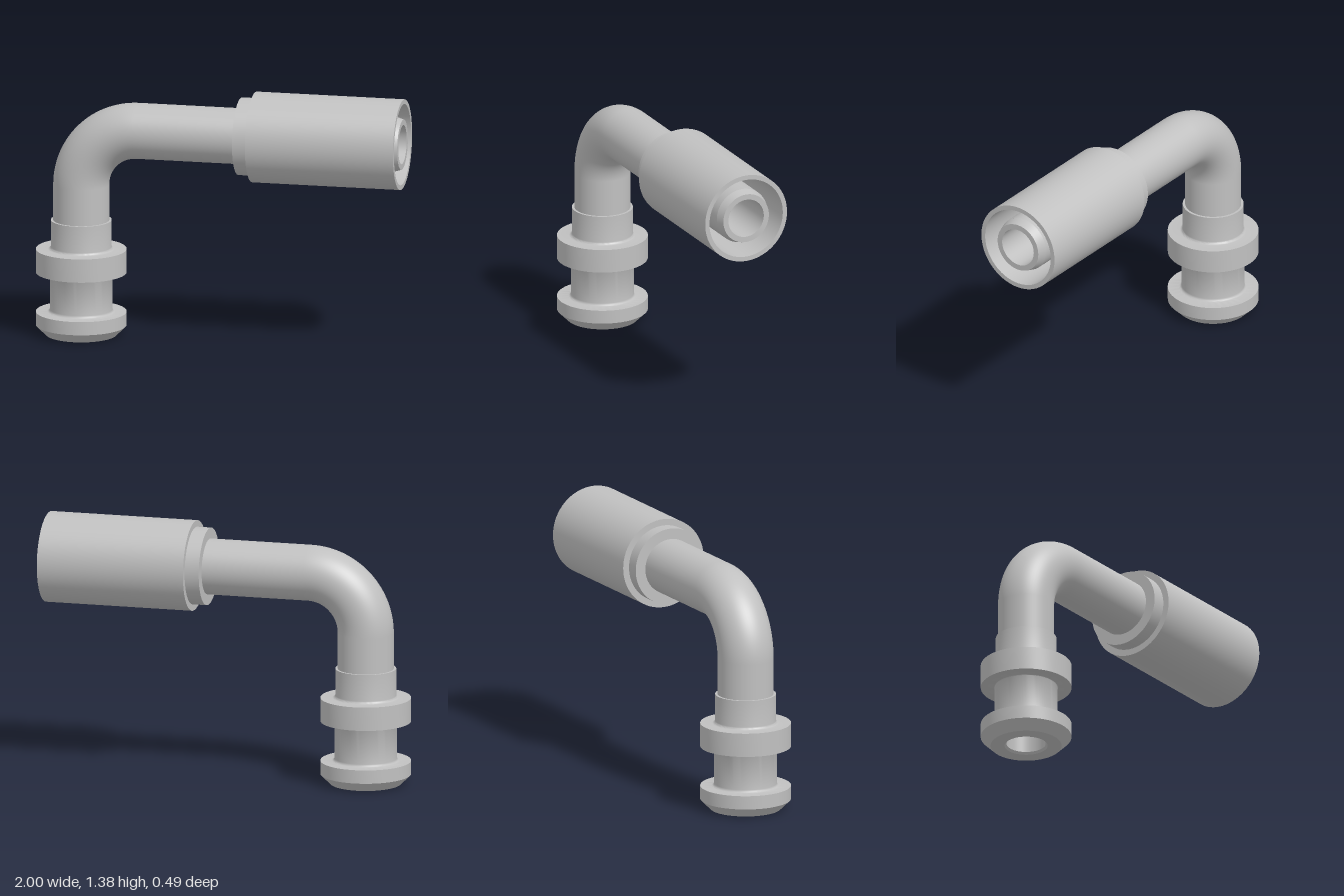
import * as THREE from 'three';
import { toCreasedNormals } from 'three/addons/utils/BufferGeometryUtils.js';

const STEM_X = -0.757;   // axis of the upright leg
const ARM_Y = 1.135;     // axis of the level arm
const BEND = 0.31;       // centreline radius of the elbow
const TUBE_R = 0.15;
const BORE_R = 0.105;

export function createModel() {
  const model = new THREE.Group();
  const steel = new THREE.MeshStandardMaterial({ color: 0xc0c0c0, side: THREE.DoubleSide });
  steel.name = 'plain steel';

  const add = (name, geometry) => {
    const mesh = new THREE.Mesh(geometry, steel);
    mesh.name = name;
    model.add(mesh);
  };

  // Turned part from [radius, distance along axis] pairs
  const turned = (profile) => toCreasedNormals(
    new THREE.LatheGeometry(profile.map(([r, d]) => new THREE.Vector2(r, d)), 72), 0.6);

  // Fillet between a flange face and a shaft, centred at (r, y)
  const fillet = (r, y, size, from, to) => [0, 1, 2, 3, 4].map((i) => {
    const a = from + (to - from) * i / 4;
    return [r + size * Math.cos(a), y + size * Math.sin(a)];
  });
  const P = Math.PI;

  // Quick-connect end: chamfered foot, groove, flange and socket
  const fitting = turned([
    [0.115, 0], [0.19, 0], [0.243, 0.052], [0.243, 0.125],
    ...fillet(0.183, 0.14, 0.015, 1.5 * P, P),
    ...fillet(0.175, 0.335, 0.007, P, 0.5 * P),
    [0.243, 0.342], [0.243, 0.47],
    ...fillet(0.178, 0.485, 0.015, 1.5 * P, P),
    [0.163, 0.63], [TUBE_R, 0.63], [TUBE_R, 0.6],
  ]);
  add('connectorFitting', fitting.translate(STEM_X, 0, 0));
  const mouth = turned([[BORE_R, 0.012], [0.115, 0]]);
  add('connectorMouth', mouth.translate(STEM_X, 0, 0));

  // Elbow pipe: the outer wall and the bore share one centreline
  const pipe = (name, r, bottom, end) => {
    const elbowY = ARM_Y - BEND, elbowX = STEM_X + BEND;
    const leg = new THREE.CylinderGeometry(r, r, elbowY - bottom, 64, 1, true);
    add(name + 'Leg', leg.translate(STEM_X, (elbowY + bottom) / 2, 0));
    const bend = new THREE.TorusGeometry(BEND, r, 64, 40, P / 2);
    add(name + 'Bend', bend.rotateZ(P / 2).translate(elbowX, elbowY, 0));
    const arm = new THREE.CylinderGeometry(r, r, end - elbowX, 64, 1, true);
    add(name + 'Arm', arm.rotateZ(-P / 2).translate((elbowX + end) / 2, ARM_Y, 0));
  };
  pipe('pipe', TUBE_R, 0.6, 0.95);
  pipe('bore', BORE_R, 0.012, 1);

  // Parts turned about the arm's axis
  const onArm = (profile) => turned(profile).rotateZ(-P / 2).translate(0, ARM_Y, 0);
  add('hoseNippleTip', onArm([[TUBE_R, 0.95], [0.135, 1], [BORE_R, 1]]));
  add('collar', onArm([[TUBE_R, 0.112], [0.208, 0.112], [0.208, 0.19]]));

  // Crimp sleeve with a deep, slightly tapered annular pocket
  add('crimpSleeve', onArm([
    [0.208, 0.19], [0.243, 0.19], [0.243, 1], [0.218, 1], [0.208, 0.27], [TUBE_R, 0.27],
  ]));
  return model;
}
